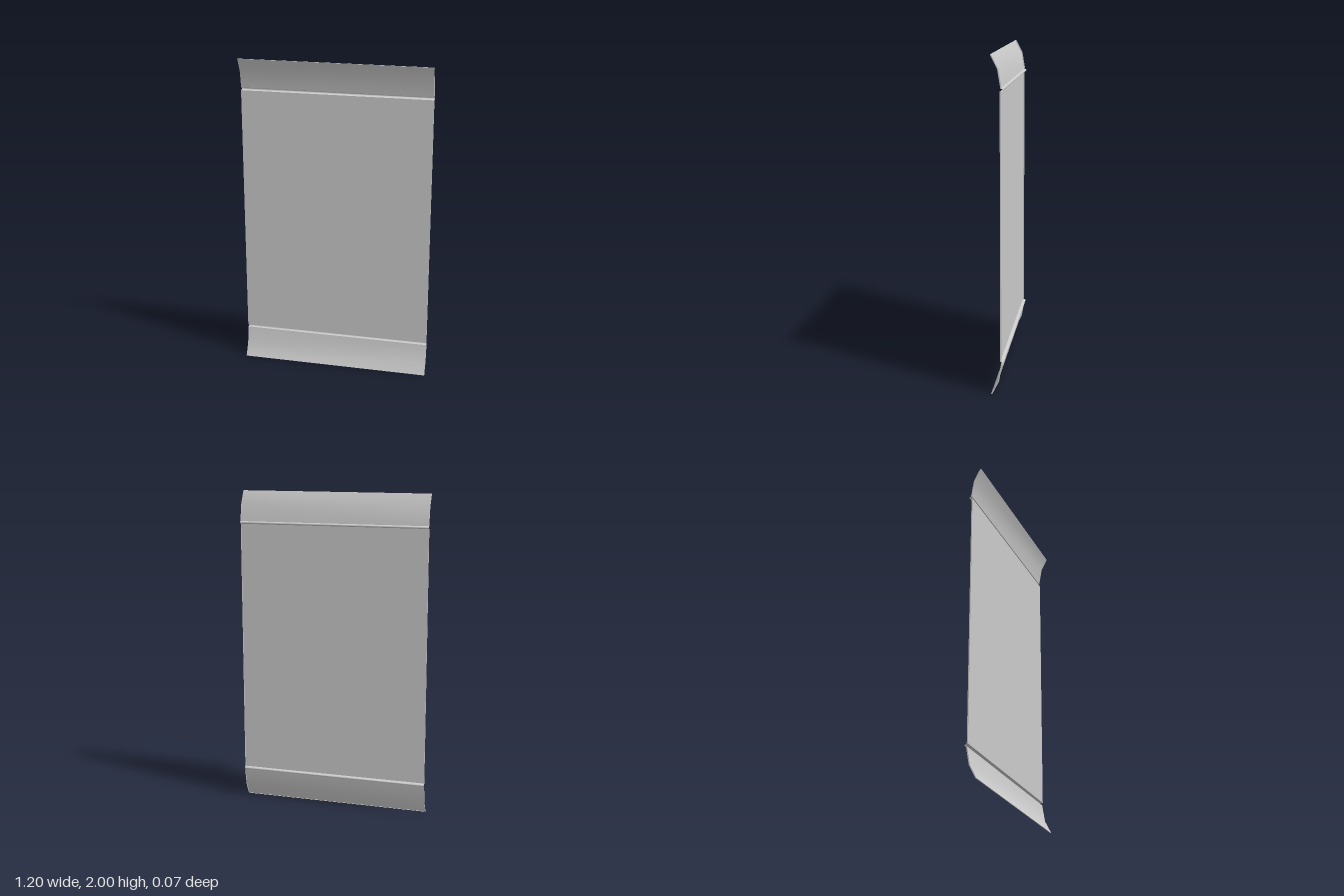
import * as THREE from 'three';

const HALF = 0.6;    // half the width of the sheet
const LIP = 0.007;   // depth of the folded edges

const material = new THREE.MeshStandardMaterial({ color: 0xcccccc, side: THREE.DoubleSide });

// Ribbon that follows a [y, z] profile from top to bottom, between two
// edges given as [x, z offset].
function ribbon(name, profile, a, b) {
  const geo = new THREE.PlaneGeometry(1, 1, 1, profile.length - 1);
  const pos = geo.attributes.position;
  profile.forEach(([y, z], i) => {
    pos.setXYZ(2 * i, a[0], y, z + a[1]);
    pos.setXYZ(2 * i + 1, b[0], y, z + b[1]);
  });
  geo.computeVertexNormals();
  const mesh = new THREE.Mesh(geo, material);
  mesh.name = name;
  return mesh;
}

// Sheet with a narrow lip folded back along both sides
function foldedSheet(name, profile) {
  const group = new THREE.Group();
  group.name = name;
  group.add(
    ribbon(name + 'Face', profile, [-HALF, 0], [HALF, 0]),
    ribbon(name + 'LeftLip', profile, [HALF, 0], [HALF, -LIP]),
    ribbon(name + 'RightLip', profile, [-HALF, -LIP], [-HALF, 0])
  );
  return group;
}

const mirrorY = (profile) => profile.map(([y, z]) => [2 - y, z]).reverse();

export function createModel() {
  const model = new THREE.Group();
  model.name = 'bentPanel';

  // Flat middle panel
  model.add(foldedSheet('panel', [[1.795, -0.018], [0.205, -0.018]]));

  // Flared end, its outer hem, and the groove that joins it to the panel
  const flare = [[2, 0.037], [1.92, -0.004], [1.812, -0.022]];
  const hem = [[2, 0.031], [2, 0.037]];
  const groove = [[1.812, -0.022], [1.811, -0.031], [1.807, -0.037],
    [1.801, -0.037], [1.797, -0.031], [1.795, -0.018]];

  for (const [end, place] of [['top', (p) => p], ['bottom', mirrorY]]) {
    model.add(
      foldedSheet(end + 'Flare', place(flare)),
      ribbon(end + 'Hem', place(hem), [-HALF, 0], [HALF, 0]),
      ribbon(end + 'Groove', place(groove), [-HALF, 0], [HALF, 0])
    );
  }
  return model;
}
